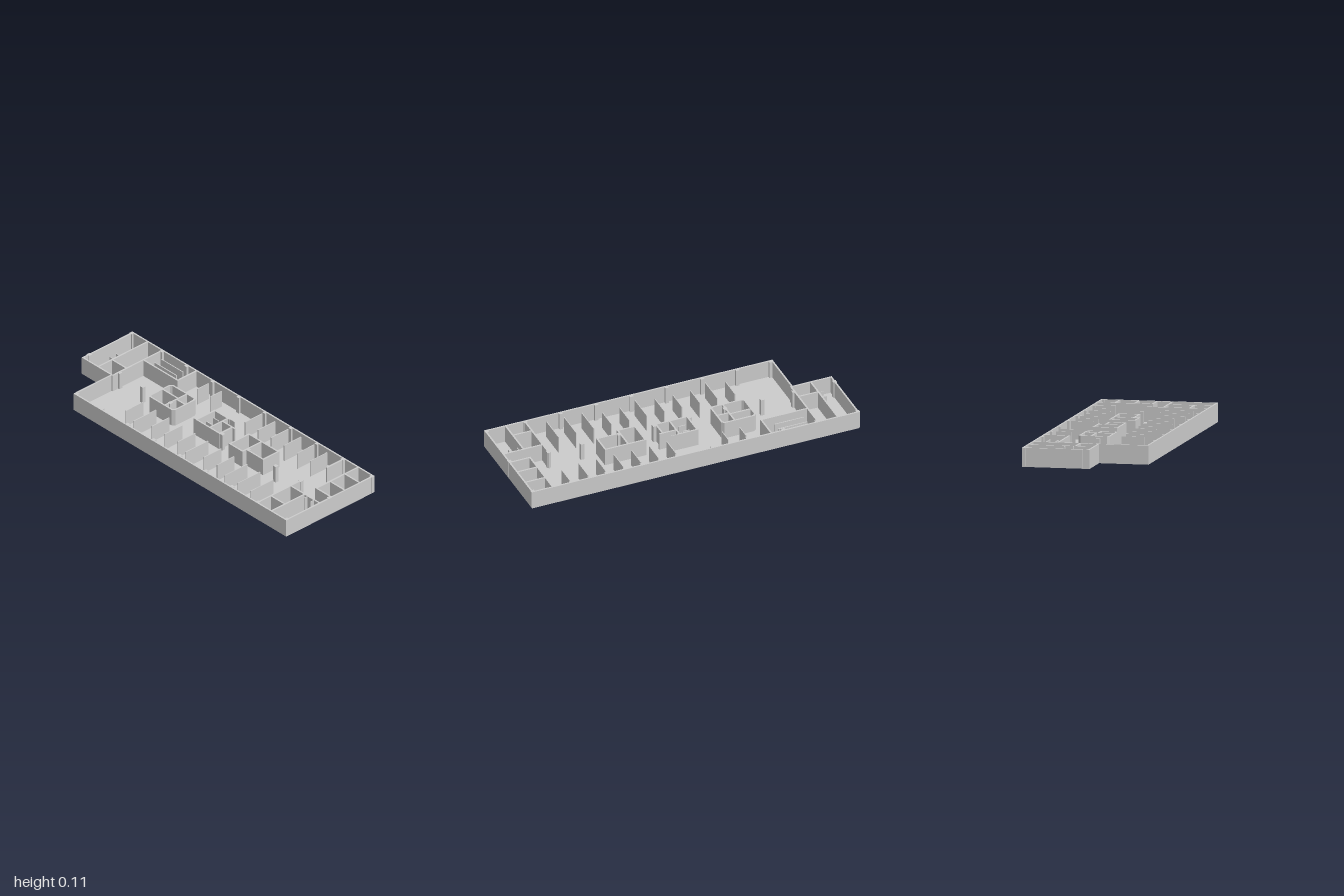
import * as THREE from 'three';

const H = 0.108, FLOOR = 0.005, T = 0.01;
const material = new THREE.MeshStandardMaterial({ color: 0xcccccc, flatShading: true });

// Outline points are [x, z], clockwise from above; reversed so that outer paths run counter-clockwise
const toPath = (P, pts) => new P(pts.map(([x, z]) => new THREE.Vector2(x, -z)).reverse());
const rect = (x0, z0, x1, z1) => [[x0, z0], [x1, z0], [x1, z1], [x0, z1]];

function slab(parent, name, outline, holes, y0, y1) {
  const shape = toPath(THREE.Shape, outline);
  shape.holes = holes.map(h => toPath(THREE.Path, h));
  const geo = new THREE.ExtrudeGeometry(shape, { depth: y1 - y0, bevelEnabled: false });
  geo.rotateX(-Math.PI / 2).translate(0, y0, 0);
  const mesh = new THREE.Mesh(geo, material);
  mesh.name = name;
  parent.add(mesh);
}

function box(parent, name, x, z, w, d, top = H) {
  const mesh = new THREE.Mesh(new THREE.BoxGeometry(w, top - FLOOR, d), material);
  mesh.position.set(x, (top + FLOOR) / 2, z);
  mesh.name = name;
  parent.add(mesh);
}

// Straight wall along x or z, given by its centre line
function wall(parent, name, x0, z0, x1, z1, t = T, top = H) {
  box(parent, name, (x0 + x1) / 2, (z0 + z1) / 2, Math.abs(x1 - x0) + t, Math.abs(z1 - z0) + t, top);
}

function group(root, name) {
  const g = new THREE.Group();
  g.name = name;
  root.add(g);
  return g;
}

// Outline of a rectangle with cut corners
const cutRect = (x0, z0, x1, z1, c) => [
  [x0 + c, z0], [x1 - c, z0], [x1, z0 + c], [x1, z1 - c],
  [x1 - c, z1], [x0 + c, z1], [x0, z1 - c], [x0, z0 + c]];

export function createModel() {
  const root = new THREE.Group();
  root.name = 'officeFloor';

  // Floor plate with two stair openings, and the outer wall
  const outer = [[-0.995, -0.335], [0.998, -0.335], [0.998, 0.335], [-0.757, 0.335], [-0.757, 0.053], [-0.995, 0.053]];
  const inner = [[-0.985, -0.325], [0.988, -0.325], [0.988, 0.325], [-0.747, 0.325], [-0.747, 0.043], [-0.985, 0.043]];
  slab(root, 'floor', outer, [rect(-0.852, -0.287, -0.75, -0.2), rect(0.759, -0.287, 0.86, -0.2)], 0, FLOOR);
  slab(root, 'outerWall', outer, [inner], FLOOR, H);

  // Rooms in the side wing and the store room beside it
  const wing = group(root, 'wingRooms');
  [
    [-0.745, -0.33, -0.745, 0.048], [-0.865, -0.33, -0.865, 0.048],
    [-0.865, -0.058, -0.745, -0.058], [-0.745, -0.185, -0.462, -0.185],
    [-0.462, -0.33, -0.462, -0.185],
  ].forEach(w => wall(wing, 'wingWall', ...w));
  [-0.116, -0.067].forEach(z => wall(wing, 'wingStub', -0.891, z, -0.867, z, 0.004));
  [-0.282, -0.232].forEach(z => wall(wing, 'storageShelf', -0.698, z, -0.527, z, 0.006, 0.09));

  // Rooms at the far end
  const end = group(root, 'endRooms');
  [
    [0.754, -0.33, 0.754, -0.2], [0.754, -0.012, 0.754, 0.33],
    [0.87, -0.33, 0.87, -0.012], [0.87, 0.077, 0.87, 0.33],
    [0.754, 0.077, 0.992, 0.077], [0.87, -0.227, 0.992, -0.227],
    [0.87, -0.115, 0.992, -0.115], [0.87, -0.012, 0.992, -0.012],
    [0.754, 0.227, 0.87, 0.227],
  ].forEach(w => wall(end, 'endWall', ...w));
  [0.897, 0.95].forEach(x => wall(end, 'cubicleStub', x, 0.082, x, 0.105, 0.004));

  // Three cores of small rooms on the middle line
  const coreA = group(root, 'corneredCore');
  slab(coreA, 'coreShell', cutRect(-0.459, -0.135, -0.247, 0.045, 0.015),
    [cutRect(-0.449, -0.125, -0.257, 0.035, 0.011)], FLOOR, H);
  [
    [-0.325, -0.13, -0.325, 0.04], [-0.454, -0.062, -0.325, -0.062],
    [-0.325, -0.049, -0.252, -0.049],
  ].forEach(w => wall(coreA, 'corePartition', ...w));

  const coreB = group(root, 'middleCore');
  [
    [-0.096, -0.13, -0.096, 0.008], [-0.096, -0.13, 0.022, -0.13], [0.012, -0.13, 0.012, 0.008],
    [0.012, -0.087, 0.112, -0.087], [0.095, -0.087, 0.095, 0.008], [-0.096, 0.008, 0.095, 0.008],
  ].forEach(w => wall(coreB, 'coreWall', ...w));
  wall(coreB, 'doorLeaf', 0.022, -0.132, 0.064, -0.132, 0.004);
  [-0.092, -0.039].forEach(z => wall(coreB, 'coreShelf', -0.063, z, -0.025, z, 0.006, 0.09));

  const coreC = group(root, 'steppedCore');
  [
    [0.21, -0.107, 0.452, -0.107], [0.21, -0.107, 0.21, 0.037], [0.21, 0.037, 0.314, 0.037],
    [0.314, -0.107, 0.314, 0.037], [0.452, -0.107, 0.452, 0.008], [0.314, 0.008, 0.452, 0.008],
  ].forEach(w => wall(coreC, 'coreWall', ...w));

  // Desk dividers: one row along the front, one along the back
  const dividers = group(root, 'dividers');
  const long = [1, 5, 8, 9, 10];
  for (let i = 0; i < 11; i++) {
    const x = -0.43 + i * 0.1073;
    wall(dividers, 'frontDivider', x, 0.11, x, long.includes(i) ? 0.274 : 0.235, 0.005);
    if (i >= 5) wall(dividers, 'backDivider', x, -0.3, x, -0.175, 0.005);
    if (i === 1 || i === 2) wall(dividers, 'backDivider', x, -0.289, x, -0.208, 0.005);
  }

  // Square columns on a regular grid; the outermost ones stand slightly proud of the end walls
  const columns = group(root, 'columns');
  for (let i = 0; i < 10; i++) {
    const x = i === 0 ? -0.989 : i === 1 ? -0.74 : i === 9 ? 0.989 : -0.752 + (i - 1) * 0.2149;
    [-0.323, 0, 0.323].forEach(z => {
      // In the middle row, the second bays from both ends are a little wider
      const shift = z === 0 && (i === 2 || i === 7) ? Math.sign(x) * 0.011 : 0;
      if (i > 0 || z <= 0) box(columns, 'column', x + shift, z, 0.022, 0.022);
    });
  }
  return root;
}
